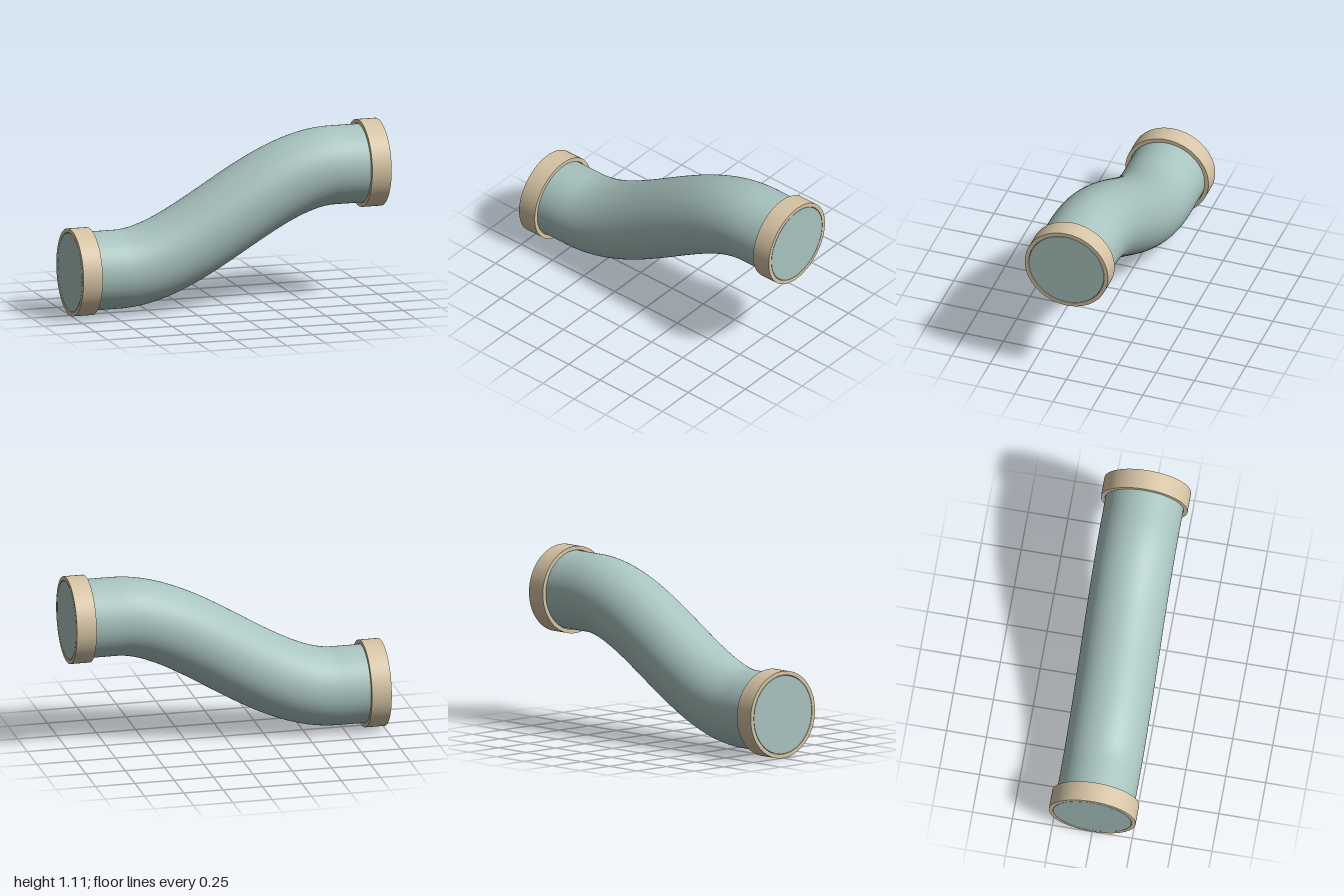
import * as THREE from 'three';

const LOW = 0.273, HIGH = 0.838; // centre heights of the two ends
const PIPE_R = 0.244, RING_IN = 0.247, RING_OUT = 0.272, RING_W = 0.125;
const BEND = 0.7; // half length of the curved section

export function createModel() {
  const group = new THREE.Group();
  const pipeMat = new THREE.MeshStandardMaterial({ color: 0xa8c3bf });
  pipeMat.name = 'paleTeal';
  const collarMat = new THREE.MeshStandardMaterial({ color: 0xd6c4a5 });
  collarMat.name = 'sand';

  const add = (name, geometry, material) => {
    const mesh = new THREE.Mesh(geometry, material);
    mesh.name = name;
    group.add(mesh);
    return mesh;
  };

  // Pipe centre line: straight end, S-bend, straight end
  const v = (x, y) => new THREE.Vector3(x, y, 0);
  const path = new THREE.CurvePath();
  path.add(new THREE.LineCurve3(v(-1, LOW), v(-BEND, LOW)));
  path.add(new THREE.CubicBezierCurve3(
    v(-BEND, LOW), v(-BEND / 3, LOW), v(BEND / 3, HIGH), v(BEND, HIGH)));
  path.add(new THREE.LineCurve3(v(BEND, HIGH), v(1, HIGH)));
  add('pipe', new THREE.TubeGeometry(path, 96, PIPE_R, 96), pipeMat);

  // Square-edged collar: separate faces keep the rims sharp
  const half = RING_W / 2;
  const corners = [[RING_IN, -half], [RING_OUT, -half], [RING_OUT, half], [RING_IN, half]];
  for (const [side, x, y] of [['right', -1, LOW], ['left', 1, HIGH]]) {
    const collar = new THREE.Group();
    collar.name = side + 'Collar';
    ['endRim', 'outerBand', 'endRim', 'innerBand'].forEach((name, i) => {
      const edge = [corners[i], corners[(i + 1) % 4]].map(p => new THREE.Vector2(...p));
      const face = new THREE.Mesh(new THREE.LatheGeometry(edge, 96), collarMat);
      face.name = name;
      collar.add(face);
    });
    collar.rotation.z = Math.PI / 2;
    collar.position.set(x - Math.sign(x) * half, y, 0);
    group.add(collar);

    // Flat disc closing the pipe end
    const cap = add(side + 'EndCap', new THREE.CircleGeometry(PIPE_R, 96), pipeMat);
    cap.rotation.y = Math.sign(x) * Math.PI / 2;
    cap.position.set(x, y, 0);
  }
  return group;
}
